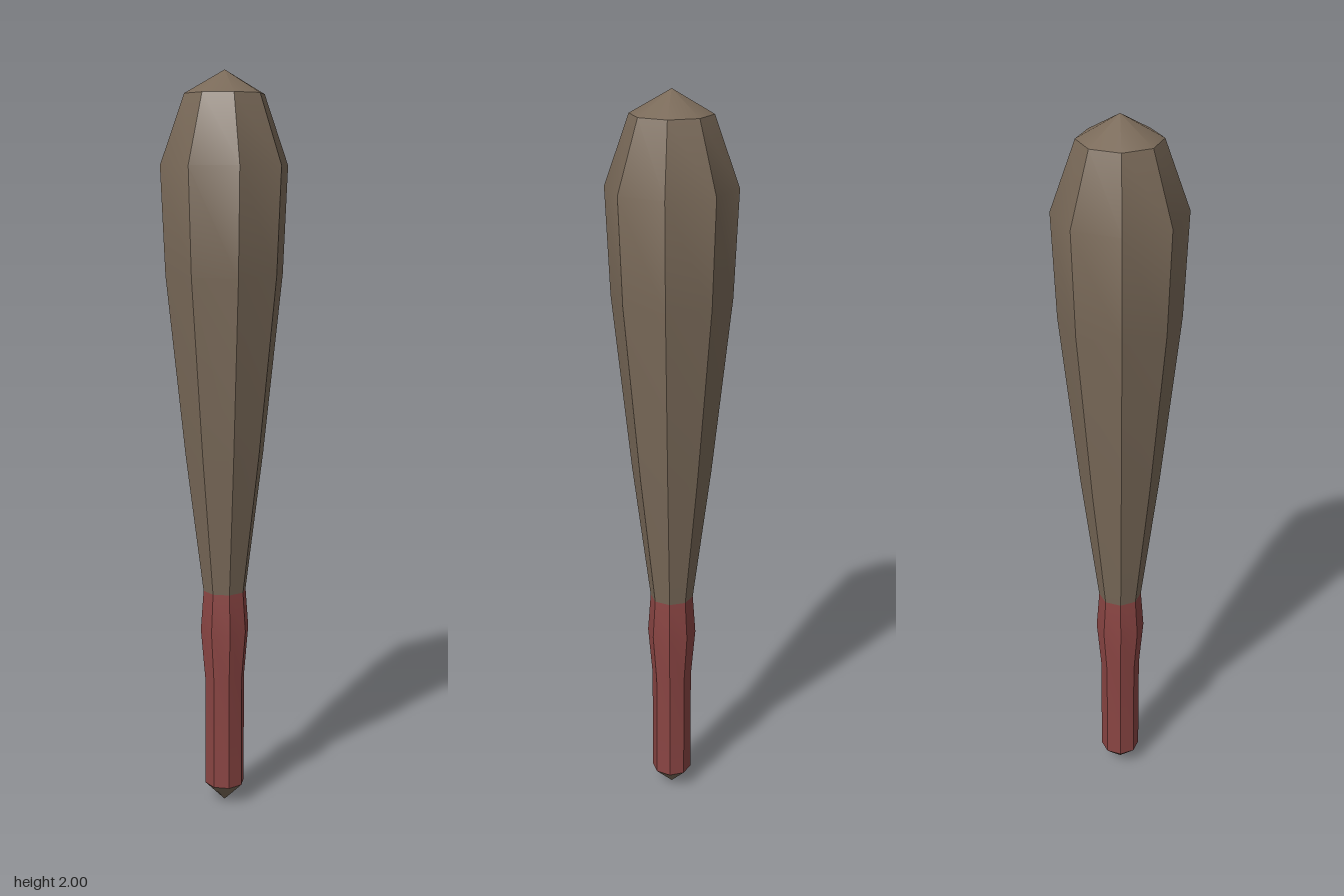
import * as THREE from 'three';
import { toCreasedNormals } from 'three/addons/utils/BufferGeometryUtils.js';

const SIDES = 8;

// Eight-sided turned part: sharp along its length, soft where the slope changes gently
function turned(name, material, profile) {
  const points = profile.map(([r, y]) => new THREE.Vector2(r, y));
  const geometry = toCreasedNormals(new THREE.LatheGeometry(points, SIDES), Math.PI / 6);
  const mesh = new THREE.Mesh(geometry, material);
  mesh.name = name;
  return mesh;
}

export function createModel() {
  const wood = new THREE.MeshStandardMaterial({ color: 0x7a6a59 });
  wood.name = 'brown wood';
  const wrap = new THREE.MeshStandardMaterial({ color: 0x8a4543 });
  wrap.name = 'red wrap';

  const club = new THREE.Group();
  club.name = 'club';
  club.add(
    // Pointed butt under the handle
    turned('buttTip', wood, [[0, 0.005], [0.055, 0.06]]),
    // Wrapped handle with a slight swelling near the top
    turned('grip', wrap, [[0.055, 0.06], [0.055, 0.37], [0.067, 0.51], [0.059, 0.62]]),
    // Tapered striking end with a low pointed cap
    turned('clubHead', wood, [
      [0.059, 0.62], [0.107, 1.0], [0.158, 1.48], [0.17, 1.76], [0.106, 1.94], [0, 2],
    ]),
  );
  return club;
}
